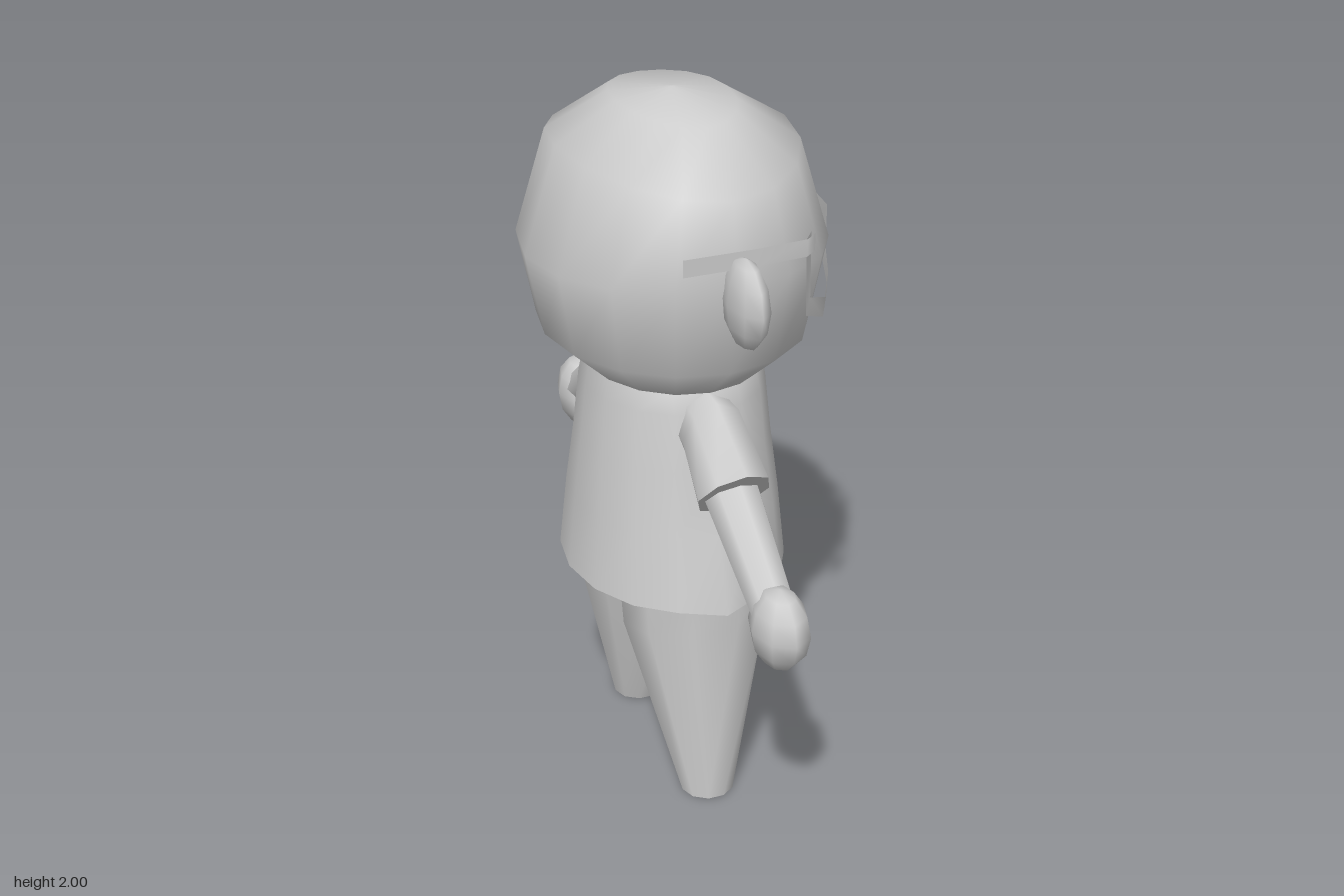
import * as THREE from 'three';

const grey = new THREE.MeshStandardMaterial({ color: 0xcccccc });
grey.name = 'plain grey';
const greySheet = grey.clone();
greySheet.name = 'plain grey sheet';
greySheet.side = THREE.DoubleSide;

function mesh(name, geometry, material = grey) {
  const m = new THREE.Mesh(geometry, material);
  m.name = name;
  return m;
}

// Smooth skin over a stack of rings (arrays of [x, y, z]), with flat end caps
function loft(rings) {
  const pos = [], idx = [], n = rings[0].length;
  rings.forEach(r => r.forEach(p => pos.push(...p)));
  for (let i = 0; i < rings.length - 1; i++) {
    for (let j = 0; j < n; j++) {
      const a = i * n + j, b = i * n + (j + 1) % n;
      idx.push(a, a + n, b, b, a + n, b + n);
    }
  }
  [rings[0], rings[rings.length - 1]].forEach((ring, end) => {
    const base = pos.length / 3;
    ring.forEach(p => pos.push(...p));
    for (let j = 1; j < n - 1; j++) {
      if (end) idx.push(base, base + j + 1, base + j);
      else idx.push(base, base + j, base + j + 1);
    }
  });
  const g = new THREE.BufferGeometry();
  g.setAttribute('position', new THREE.Float32BufferAttribute(pos, 3));
  g.setIndex(idx);
  g.computeVertexNormals();
  return g;
}

// Elliptical ring whose height may differ at the sides (ySide)
function oval(n, y, rx, rz, cz = 0, ySide = y) {
  return Array.from({ length: n }, (_, j) => {
    const a = j / n * Math.PI * 2, c = Math.cos(a), s = Math.sin(a);
    return [rx * c, y + (ySide - y) * s * s, cz + rz * s];
  });
}

// Ring standing across the arm, between a top and a bottom point given as [z, y]
function cuff(top, bottom, rx) {
  return Array.from({ length: 8 }, (_, j) => {
    const a = j / 8 * Math.PI * 2, t = (1 - Math.cos(a)) / 2;
    return [rx * Math.sin(a), top[1] + (bottom[1] - top[1]) * t, top[0] + (bottom[0] - top[0]) * t];
  });
}

function ellipsoid(rx, ry, rz, x, y, z) {
  const g = new THREE.SphereGeometry(1, 8, 6);
  g.scale(rx, ry, rz);
  g.translate(x, y, z);
  return g;
}

// Arm, leg and ear of one side
function makeSide(name) {
  const side = new THREE.Group();
  side.name = name;
  side.add(mesh('sleeve', loft([
    cuff([0.2, 1.245], [0.2, 1.03], 0.08),
    cuff([0.32, 1.235], [0.29, 1.03], 0.09),
    cuff([0.52, 1.12], [0.355, 0.935], 0.1),
  ])));

  const from = new THREE.Vector3(0, 1.03, 0.41), to = new THREE.Vector3(0, 0.81, 0.72);
  const dir = to.clone().sub(from);
  const armGeo = new THREE.CylinderGeometry(0.06, 0.078, dir.length(), 8);
  armGeo.applyQuaternion(new THREE.Quaternion().setFromUnitVectors(
    new THREE.Vector3(0, 1, 0), dir.clone().normalize()));
  const mid = from.clone().add(to).multiplyScalar(0.5);
  armGeo.translate(mid.x, mid.y, mid.z);
  side.add(mesh('arm', armGeo));
  side.add(mesh('hand', ellipsoid(0.076, 0.112, 0.108, 0, 0.795, 0.738)));
  side.add(mesh('ear', ellipsoid(0.05, 0.12, 0.11, 0.003, 1.59, 0.487)));

  side.add(mesh('leg', loft([
    oval(10, 0, 0.075, 0.073, 0.273),
    oval(10, 0.54, 0.215, 0.15, 0.183),
    oval(10, 0.66, 0.225, 0.15, 0.185),
  ])));
  return side;
}

// Thin flat band through pairs of edge points
function band(pairs) {
  const pos = [], idx = [];
  pairs.forEach(([a, b], i) => {
    pos.push(...a, ...b);
    if (i) idx.push(2 * i - 2, 2 * i - 1, 2 * i, 2 * i, 2 * i - 1, 2 * i + 1);
  });
  const g = new THREE.BufferGeometry();
  g.setAttribute('position', new THREE.Float32BufferAttribute(pos, 3));
  g.setIndex(idx);
  g.computeVertexNormals();
  return g;
}

// Forward distance of the glasses frame at each sideways distance
function frameX(z) {
  const curve = [[0, 0.412], [0.06, 0.41], [0.145, 0.393], [0.32, 0.303], [0.39, 0.225], [0.45, 0.18]];
  for (let i = 1; i < curve.length; i++) {
    const [z0, x0] = curve[i - 1], [z1, x1] = curve[i];
    if (z <= z1) return x0 + (x1 - x0) * (z - z0) / (z1 - z0);
  }
  return 0.18;
}

function makeGlasses() {
  const glasses = new THREE.Group();
  glasses.name = 'glasses';
  // Outer and inner edge of the rim as z, y, z, y
  const rim = [
    [0.44, 1.715, 0.395, 1.715], [0.43, 1.5, 0.39, 1.53], [0.33, 1.44, 0.31, 1.485],
    [0.13, 1.44, 0.16, 1.485], [0.06, 1.5, 0.11, 1.53], [0.06, 1.61, 0.11, 1.655],
    [0, 1.61, 0, 1.655],
  ];
  const temple = [[-0.15, 0.453], [0.05, 0.452], [0.19, 0.441], [0.225, 0.41]];
  for (const s of [1, -1]) {
    glasses.add(mesh('rim', band(rim.map(([z0, y0, z1, y1]) =>
      [[frameX(z0), y0, s * z0], [frameX(z1), y1, s * z1]])), greySheet));
    glasses.add(mesh('temple', band(temple.map(([x, z]) =>
      [[x, 1.715, s * z], [x, 1.668, s * z]])), greySheet));
  }
  return glasses;
}

export function createModel() {
  const model = new THREE.Group();
  model.name = 'figure';

  model.add(mesh('head', loft([
    oval(16, 1.25, 0.24, 0.28),
    oval(16, 1.36, 0.36, 0.405),
    oval(16, 1.59, 0.408, 0.45, 0, 1.62),
    oval(16, 1.88, 0.32, 0.41, 0, 1.83),
    oval(16, 1.98, 0.155, 0.24, 0, 1.965),
    oval(16, 2.0, 0.004, 0.004),
  ])));

  // Shirt flares to a hem that is drawn out to a point on each side
  const hem = oval(16, 0.64, 0.307, 0.375);
  hem[4][2] = 0.408;
  hem[12][2] = -0.408;
  model.add(mesh('shirt', loft([
    hem,
    oval(16, 0.85, 0.287, 0.343),
    oval(16, 1.03, 0.267, 0.295),
    oval(16, 1.19, 0.25, 0.28),
    oval(16, 1.25, 0.24, 0.25),
  ])));

  model.add(mesh('hips', loft([
    oval(12, 0.49, 0.07, 0.06),
    oval(12, 0.53, 0.16, 0.17),
    oval(12, 0.58, 0.215, 0.3),
    oval(12, 0.66, 0.225, 0.335),
  ])));

  // The limbs are symmetric front to back, so half a turn mirrors them
  const near = makeSide('nearSide'), far = makeSide('farSide');
  far.rotation.y = Math.PI;
  model.add(near, far, makeGlasses());
  return model;
}
